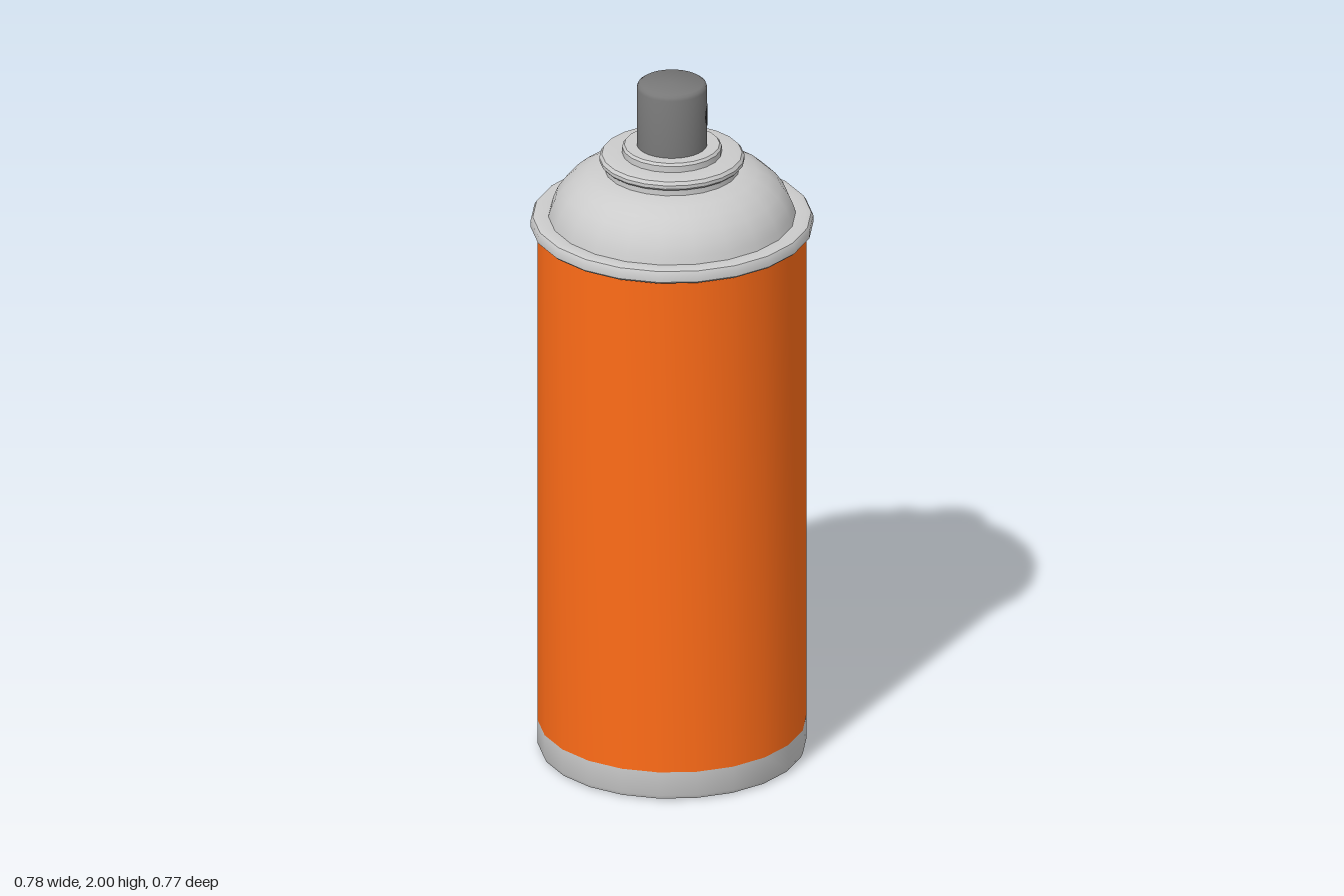
import * as THREE from 'three';
import { toCreasedNormals } from 'three/addons/utils/BufferGeometryUtils.js';

const metal = new THREE.MeshStandardMaterial({ color: 0xcccccc });
const paint = new THREE.MeshStandardMaterial({ color: 0xff6c18 });
const plastic = new THREE.MeshStandardMaterial({ color: 0x787878 });
const dark = new THREE.MeshStandardMaterial({ color: 0x202020 });

const SIDES = 22;
const TURN = Math.PI / SIDES + 0.026; // small twist of the facets about the axis

// Revolved part: profile of [radius, height], listed from bottom to top
function revolve(name, profile, material, sides = SIDES) {
  const points = profile.map(([r, y]) => new THREE.Vector2(r, y));
  const geometry = toCreasedNormals(new THREE.LatheGeometry(points, sides, TURN), 0.65);
  const mesh = new THREE.Mesh(geometry, material);
  mesh.name = name;
  return mesh;
}

export function createModel() {
  const can = new THREE.Group();
  can.name = 'sprayCan';

  // Base with a conical recess underneath
  can.add(revolve('base', [[0, 0.12], [0.355, 0], [0.365, 0.004], [0.37, 0.015], [0.37, 0.085]], metal));

  // Painted body
  can.add(revolve('body', [[0.37, 0.085], [0.37, 1.568]], paint));

  // Rolled rim
  can.add(revolve('rim', [
    [0.368, 1.566], [0.383, 1.566], [0.389, 1.572], [0.389, 1.592], [0.383, 1.602], [0.37, 1.606], [0.335, 1.602],
  ], metal));

  // Domed shoulder
  can.add(revolve('shoulder', [
    [0.341, 1.6], [0.335, 1.622], [0.322, 1.653], [0.3, 1.684], [0.27, 1.711], [0.235, 1.731], [0.195, 1.741], [0.185, 1.742],
  ], metal));

  // Valve cup: neck, wide collar and small collar
  can.add(revolve('valveCup', [
    [0.186, 1.738], [0.186, 1.76], [0.195, 1.762], [0.2, 1.768], [0.2, 1.778], [0.193, 1.787], [0.18, 1.79],
    [0.137, 1.79], [0.137, 1.808], [0.131, 1.815], [0.09, 1.815],
  ], metal));

  // Spray button
  const radius = 0.097;
  can.add(revolve('nozzle', [
    [radius, 1.81], [radius, 1.986], [0.094, 1.995], [0.087, 2], [0, 2],
  ], plastic, 32));

  // Spray hole: a disc wrapped around the button
  const disc = new THREE.RingGeometry(0, 0.037, 24, 4);
  const p = disc.attributes.position;
  for (let i = 0; i < p.count; i++) {
    const angle = p.getX(i) / radius;
    p.setXYZ(i, Math.sin(angle) * (radius + 0.001), p.getY(i), Math.cos(angle) * (radius + 0.001));
  }
  disc.computeVertexNormals();
  const hole = new THREE.Mesh(disc, dark);
  hole.name = 'sprayHole';
  hole.position.y = 1.91;
  hole.rotation.y = 0.7;
  can.add(hole);

  return can;
}
